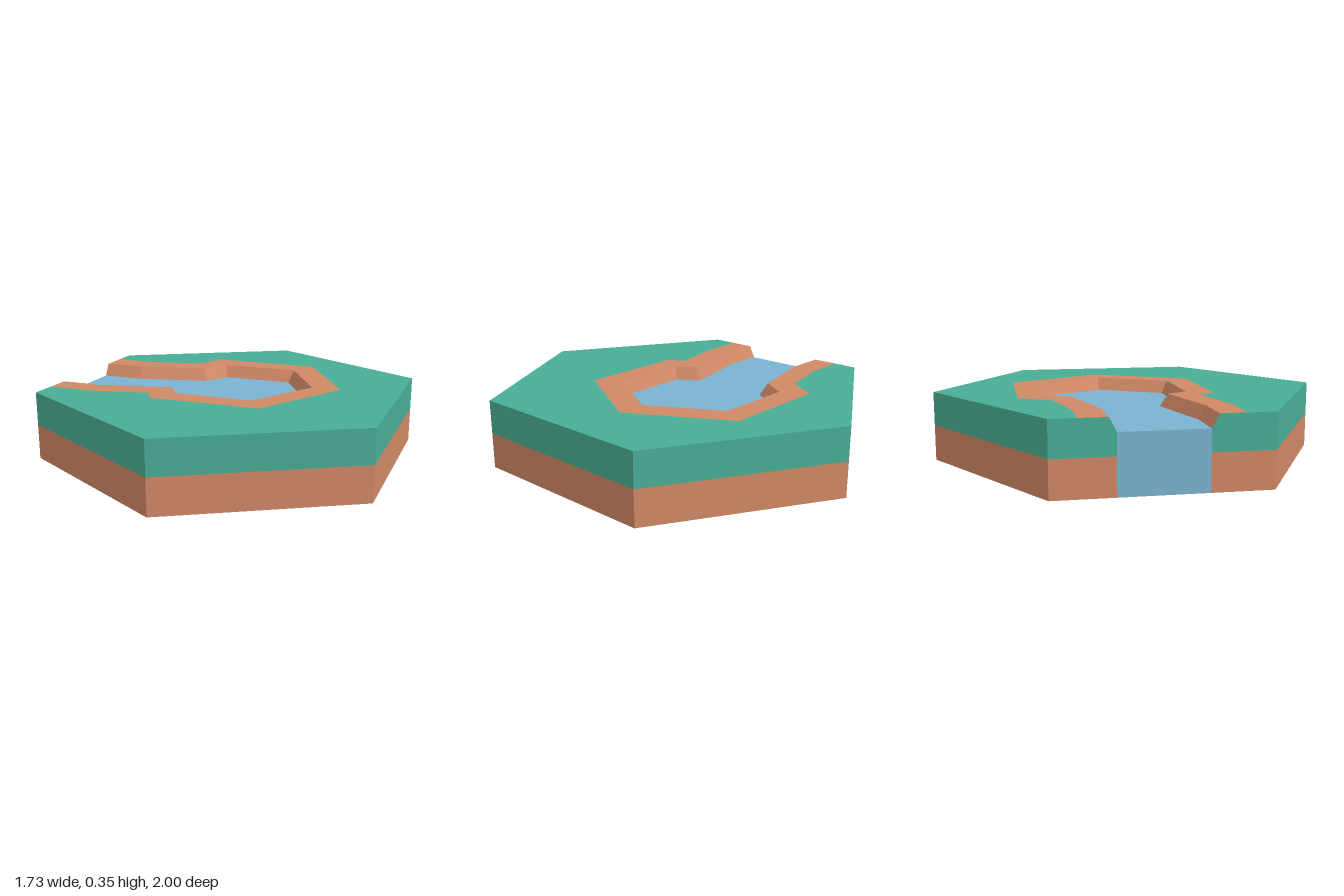
import * as THREE from 'three';

const TOP = 0.35, SPLIT = 0.18, WATER = 0.285, EDGE = 0.866;

// Outlines as [x, z]; each runs from the river mouth's back bank round to its front bank
const hex = [[-EDGE, 0.5], [0, 1], [EDGE, 0.5], [EDGE, -0.5], [0, -1], [-EDGE, -0.5]];
const shore = [[-EDGE, -0.375], [-0.655, -0.375], [-0.375, -0.434], [-0.285, -0.59], [0.285, -0.59],
  [0.563, -0.1], [0.285, 0.387], [-0.285, 0.387], [-0.333, 0.3], [-0.63, 0.365], [-EDGE, 0.365]];
const rim = [[-EDGE, -0.242], [-0.648, -0.242], [-0.286, -0.328], [-0.207, -0.46], [0.207, -0.46],
  [0.413, -0.1], [0.207, 0.258], [-0.207, 0.258], [-0.27, 0.153], [-0.648, 0.238], [-EDGE, 0.238]];
const pool = [[-EDGE, -0.208], [-0.645, -0.208], [-0.262, -0.295], [-0.187, -0.425], [0.187, -0.425],
  [0.375, -0.1], [0.187, 0.225], [-0.187, 0.225], [-0.25, 0.115], [-0.645, 0.205], [-EDGE, 0.205]];

const polygon = (pts) => new THREE.ShapeGeometry(new THREE.Shape(pts.map(([a, b]) => new THREE.Vector2(a, b))));

// Flat horizontal face pointing up
const flat = (pts, y) => polygon(pts.map(([x, z]) => [x, -z])).rotateX(-Math.PI / 2).translate(0, y, 0);

// Face on the river mouth side, outlined in [z, y]
const mouthFace = (pts) => polygon(pts).rotateY(-Math.PI / 2).translate(-EDGE, 0, 0);

// Strip of flat quads between a lower and an upper path
function strip(low, y0, high, y1) {
  const pos = [];
  for (let i = 0; i < low.length - 1; i++) {
    const a = [low[i][0], y0, low[i][1]], b = [low[i + 1][0], y0, low[i + 1][1]];
    const c = [high[i + 1][0], y1, high[i + 1][1]], d = [high[i][0], y1, high[i][1]];
    pos.push(...a, ...b, ...c, ...a, ...c, ...d);
  }
  const g = new THREE.BufferGeometry();
  g.setAttribute('position', new THREE.Float32BufferAttribute(pos, 3));
  g.computeVertexNormals();
  return g;
}

export function createModel() {
  const material = (name, color) => Object.assign(new THREE.MeshStandardMaterial({ color }), { name });
  const grass = material('grass green', 0x48ad94);
  const earth = material('earth brown', 0xd08866);
  const water = material('water blue', 0x7ab3d1);

  const group = new THREE.Group();
  group.name = 'riverHexTile';
  const add = (name, geometry, mat) => {
    const mesh = new THREE.Mesh(geometry, mat);
    mesh.name = name;
    group.add(mesh);
  };

  // Top surfaces
  add('grassTop', flat([...hex, ...shore], TOP), grass);
  add('earthShore', flat([...shore, ...[...rim].reverse()], TOP), earth);
  add('sunkenBank', strip(pool, WATER, rim, TOP), earth);
  add('waterSurface', flat(pool, WATER), water);

  // Five plain sides and the underside
  add('grassSides', strip(hex, SPLIT, hex, TOP), grass);
  add('earthSides', strip(hex, 0, hex, SPLIT), earth);
  add('underside', flat(hex, 0).rotateX(Math.PI), earth);

  // Side with the river mouth: land on both sides of the cut water
  for (const [corner, i] of [[-0.5, 0], [0.5, pool.length - 1]]) {
    const zr = rim[i][1], zw = pool[i][1];
    add('mouthGrass', mouthFace([[corner, SPLIT], [zw, SPLIT], [zw, WATER], [zr, TOP], [corner, TOP]]), grass);
    add('mouthEarth', mouthFace([[corner, 0], [zw, 0], [zw, SPLIT], [corner, SPLIT]]), earth);
  }
  const z0 = pool[0][1], z1 = pool[pool.length - 1][1];
  add('mouthWater', mouthFace([[z0, 0], [z1, 0], [z1, WATER], [z0, WATER]]), water);

  return group;
}
